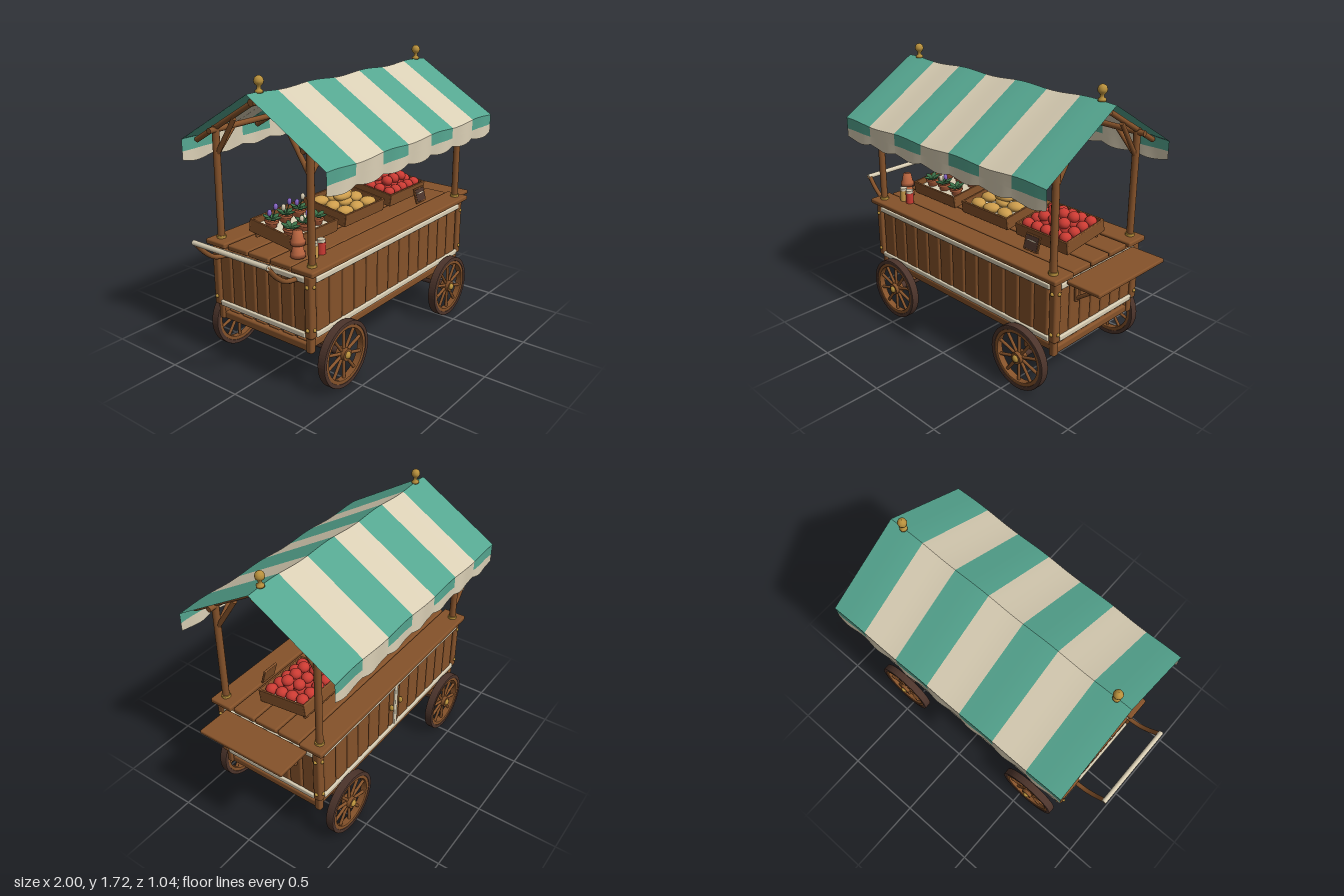
import * as THREE from 'three';
import { RoundedBoxGeometry } from 'three/addons/geometries/RoundedBoxGeometry.js';

const mat = (name, color, side = THREE.FrontSide) => Object.assign(new THREE.MeshStandardMaterial({ color, side }), { name });

export function createModel() {
  const wood = mat('wood', 0x85522a), dark = mat('darkWood', 0x4c342b);
  const green = mat('awningGreen', 0x55a690, THREE.DoubleSide), cream = mat('cream', 0xd9ceb4, THREE.DoubleSide);
  const gold = mat('brass', 0xb8903c), red = mat('red', 0xcc3b33), clay = mat('terracotta', 0xb8643f);
  const leaf = mat('leaf', 0x3c7048), purple = mat('purple', 0x8a68cc), bread = mat('bread', 0xcd9d4c);
  const root = new THREE.Group();
  root.name = 'marketCart';
  const V = (x, y, z) => new THREE.Vector3(x, y, z);

  const group = (name, parent = root) => {
    const g = new THREE.Group();
    g.name = name;
    parent.add(g);
    return g;
  };
  const add = (name, geo, m, x = 0, y = 0, z = 0, parent = root) => {
    const mesh = new THREE.Mesh(geo, m);
    mesh.name = name;
    mesh.position.set(x, y, z);
    parent.add(mesh);
    return mesh;
  };
  const box = (name, w, h, d, m, x, y, z, parent) =>
    add(name, new RoundedBoxGeometry(w, h, d, 2, Math.min(w, h, d) * 0.3), m, x, y, z, parent);
  const ball = (name, r, m, x, y, z, parent, sx = 1, sy = 1, sz = 1) => {
    const b = add(name, new THREE.SphereGeometry(r, 16, 12), m, x, y, z, parent);
    b.scale.set(sx, sy, sz);
    return b;
  };
  // Round rod between two points
  const rod = (name, a, b, r, m, parent) => {
    const c = a.clone().add(b).multiplyScalar(0.5), d = b.clone().sub(a);
    const mesh = add(name, new THREE.CylinderGeometry(r, r, d.length(), 14), m, c.x, c.y, c.z, parent);
    mesh.quaternion.setFromUnitVectors(V(0, 1, 0), d.normalize());
    return mesh;
  };
  const lathe = (pts, n = 20) => new THREE.LatheGeometry(pts.map(p => new THREE.Vector2(...p)), n);

  // Wheels
  const ring = (ro, ri, w) => {
    const s = new THREE.Shape().absarc(0, 0, ro, 0, Math.PI * 2);
    s.holes.push(new THREE.Path().absarc(0, 0, ri, 0, Math.PI * 2, true));
    const bevel = 0.005;
    return new THREE.ExtrudeGeometry(s, { depth: w - 2 * bevel, curveSegments: 32, bevelSize: bevel, bevelThickness: bevel, bevelOffset: -bevel, bevelSegments: 2 })
      .translate(0, 0, -w / 2 + bevel);
  };
  const tire = ring(0.197, 0.172, 0.05), felloe = ring(0.179, 0.152, 0.042);
  for (const x of [-0.555, 0.555]) {
    for (const s of [-1, 1]) {
      const w = group('wheel');
      w.position.set(x, 0.197, s * 0.41);
      add('tire', tire, dark, 0, 0, 0, w);
      add('rim', felloe, wood, 0, 0, 0, w);
      for (let i = 0; i < 10; i++) {
        const a = (i + 0.5) * Math.PI / 5, c = Math.cos(a), q = Math.sin(a);
        rod('spoke', V(c * 0.03, q * 0.03, 0), V(c * 0.16, q * 0.16, 0), 0.0095, wood, w);
      }
      rod('hub', V(0, 0, -0.03), V(0, 0, 0.03), 0.036, wood, w);
      ball('hubCap', 0.022, gold, 0, 0, s * 0.03, w, 1, 1, 0.7);
    }
    rod('axle', V(x, 0.2, -0.42), V(x, 0.2, 0.42), 0.023, dark);
    box('bolster', 0.07, 0.06, 0.69, wood, x, 0.245, 0);
  }

  // Underframe with slatted lower shelf
  for (const s of [-1, 1]) {
    box('sideRail', 1.5, 0.05, 0.04, wood, 0, 0.31, s * 0.325);
    box('endRail', 0.04, 0.05, 0.66, wood, s * 0.73, 0.285, 0);
  }
  for (let i = 0; i < 6; i++) box('lowerSlat', 1.46, 0.02, 0.075, wood, 0, 0.31, (i - 2.5) * 0.104);
  ball('sack', 0.1, bread, -0.27, 0.345, 0.05, root, 1, 0.32, 0.9);
  ball('sack', 0.13, cream, 0.22, 0.345, -0.04, root, 1.1, 0.28, 0.85);

  // Body: planked walls, cream trim, floor
  for (const s of [-1, 1]) {
    for (let i = 0; i < 13; i++)
      add('wallPlank', new RoundedBoxGeometry(0.109, 0.35, 0.034, 4, 0.016), wood, (i - 6) * 0.1105, 0.535, s * 0.345);
    for (let i = 0; i < 7; i++)
      add('endPlank', new RoundedBoxGeometry(0.034, 0.35, 0.092, 4, 0.016), wood, s * 0.745, 0.535, (i - 3) * 0.0925);
    for (const y of [0.372, 0.693]) {
      box('longTrim', 1.46, 0.032, 0.02, cream, 0, y, s * 0.363);
      box('endTrim', 0.02, 0.032, 0.64, cream, s * 0.767, y, 0);
    }
  }
  box('floor', 1.46, 0.02, 0.66, wood, 0, 0.375, 0);
  box('doorStrip', 0.03, 0.3, 0.02, cream, 0, 0.533, -0.363);
  for (const x of [-0.05, 0.05]) ball('doorKnob', 0.014, gold, x, 0.54, -0.37, root, 0.9, 1.6, 1);

  // Corner posts, roof posts, bolts and collars
  for (const sx of [-1, 1]) for (const sz of [-1, 1]) {
    box('cornerPost', 0.052, 0.37, 0.052, wood, sx * 0.752, 0.54, sz * 0.344);
    box('postFoot', 0.042, 0.12, 0.042, wood, sx * 0.742, 0.32, sz * 0.334);
    for (const y of [0.41, 0.66]) {
      ball('bolt', 0.011, gold, sx * 0.778, y, sz * 0.344);
      ball('bolt', 0.011, gold, sx * 0.752, y, sz * 0.37);
    }
    rod('roofPost', V(sx * 0.727, 0.74, sz * 0.337), V(sx * 0.727, 1.41, sz * 0.337), 0.021, wood);
    rod('postCollar', V(sx * 0.727, 0.758, sz * 0.337), V(sx * 0.727, 0.776, sz * 0.337), 0.027, gold);
    // Diagonal braces to the rafters and along the cart
    rod('brace', V(sx * 0.727, 1.25, sz * 0.335), V(sx * 0.727, 1.47, sz * 0.19), 0.014, wood);
    rod('brace', V(sx * 0.727, 1.25, sz * 0.335), V(sx * 0.59, 1.39, sz * 0.335), 0.014, wood);
  }

  // Countertop boards
  for (let i = 0; i < 5; i++) {
    const outer = i === 0 || i === 4;
    box('counterBoard', outer ? 1.59 : 1.56, 0.032, 0.152, wood, 0, outer ? 0.744 : 0.739, (i - 2) * 0.161);
  }
  for (const x of [-0.6, 0, 0.6]) box('counterBearer', 0.05, 0.03, 0.66, wood, x, 0.712, 0);

  // Side shelf with brackets
  box('sideShelf', 0.22, 0.024, 0.58, wood, 0.89, 0.711, 0);
  for (const z of [-0.2, 0.2]) {
    box('bracketUpright', 0.022, 0.14, 0.022, wood, 0.778, 0.63, z);
    rod('bracketArm', V(0.78, 0.58, z), V(0.95, 0.702, z), 0.011, wood);
  }

  // Push handle
  for (const z of [-0.262, 0.262]) {
    const path = new THREE.CatmullRomCurve3([V(-0.75, 0.68, z), V(-0.85, 0.7, z), V(-0.92, 0.75, z), V(-0.985, 0.825, z)]);
    add('handleArm', new THREE.TubeGeometry(path, 16, 0.014, 10), wood);
    ball('handleEnd', 0.0145, wood, -0.985, 0.825, z);
  }
  rod('handleGrip', V(-0.985, 0.825, -0.275), V(-0.985, 0.825, 0.275), 0.015, cream);

  // Roof frame
  rod('ridgeBeam', V(-0.79, 1.588, 0), V(0.79, 1.588, 0), 0.02, wood);
  for (const s of [-1, 1]) {
    rod('wallPlate', V(-0.78, 1.39, s * 0.335), V(0.78, 1.39, s * 0.335), 0.017, wood);
    for (const x of [-0.727, -0.245, 0.245, 0.727])
      rod('rafter', V(x, 1.602, 0), V(x, 1.307, s * 0.495), 0.016, wood);
  }
  const finial = lathe([[0, 0], [0.022, 0], [0.022, 0.012], [0.011, 0.02], [0.011, 0.035], [0.024, 0.048], [0.027, 0.062], [0.022, 0.078], [0.011, 0.087], [0, 0.09]]);
  for (const x of [-0.725, 0.73]) add('finial', finial, gold, x, 1.63, 0);

  // Striped awning: slope, valance and scalloped hem per stripe
  const sheet = (nu, nv, f) => {
    const g = new THREE.PlaneGeometry(1, 1, nu, nv), p = g.attributes.position;
    for (let i = 0; i < p.count; i++) p.setXYZ(i, ...f(p.getX(i) + 0.5, 0.5 - p.getY(i)));
    g.computeVertexNormals();
    return g;
  };
  const wave = x => 0.006 * Math.cos((x + 0.3) * 13.3);
  const awning = group('awning');
  const W = 1.645 / 7;
  for (const s of [-1, 1]) for (let i = 0; i < 7; i++) {
    const m = i % 2 ? cream : green, X = u => -0.82 + (i + (s > 0 ? u : 1 - u)) * W;
    const hang = (x, y) => s * (0.515 + 0.005 * Math.sin(x * 26.7) * (1.32 - y) / 0.13);
    add('roofStripe', sheet(10, 6, (u, v) => [X(u), 1.63 - 0.31 * v + wave(X(u)), s * 0.517 * v]), m, 0, 0, 0, awning);
    add('valanceStripe', sheet(10, 2, (u, v) => {
      const y = 1.32 - v * 0.065;
      return [X(u), y + wave(X(u)) * (1 - v), hang(X(u), y)];
    }), m, 0, 0, 0, awning);
    add('scallopHem', sheet(10, 2, (u, v) => {
      const y = 1.255 - v * (0.05 + 0.02 * Math.sin(Math.PI * u));
      return [X(u), y, hang(X(u), y)];
    }), cream, 0, 0, 0, awning);
  }

  // Display crates tilted towards the front
  const crate = x => {
    const g = group('crate');
    g.position.set(x, 0.79, -0.025);
    g.rotation.x = 0.13;
    box('crateBase', 0.38, 0.012, 0.32, wood, 0, 0.006, 0, g);
    for (const s of [-1, 1]) {
      box('crateLong', 0.39, 0.078, 0.014, wood, 0, 0.04, s * 0.158, g);
      box('crateEnd', 0.014, 0.078, 0.31, wood, s * 0.188, 0.04, 0, g);
    }
    box('crateLiner', 0.36, 0.012, 0.3, cream, 0, 0.034, 0, g);
    box('crateProp', 0.34, 0.035, 0.02, wood, 0, -0.018, -0.13, g);
    return g;
  };
  const flowers = crate(-0.46), loaves = crate(0), tomatoes = crate(0.46);

  // Tomatoes in two layers
  for (let r = 0; r < 4; r++) for (let c = 0; c < 5; c++)
    ball('tomato', 0.036, red, (c - 2) * 0.07, 0.07, (r - 1.5) * 0.074, tomatoes, 1, 0.9, 1);
  for (let r = 0; r < 2; r++) for (let c = 0; c < 3; c++)
    ball('tomato', 0.036, red, (c - 1) * 0.074, 0.108, (r - 0.5) * 0.085, tomatoes, 1, 0.9, 1);

  // Bread loaves
  for (let r = 0; r < 3; r++) for (let c = 0; c < 3; c++)
    ball('loaf', 0.05, bread, (c - 1) * 0.112, 0.06, (r - 1) * 0.095, loaves, 1.1, 0.6, 0.85).rotation.y = (r + c) % 2 ? 0.3 : -0.25;
  ball('loaf', 0.055, bread, 0, 0.092, -0.02, loaves, 1.3, 0.6, 0.85);

  // Potted flowers
  const pot = lathe([[0, 0], [0.028, 0], [0.036, 0.045], [0.042, 0.045], [0.042, 0.06], [0.036, 0.06], [0.034, 0.05], [0, 0.05]]);
  for (let r = 0; r < 2; r++) for (let c = 0; c < 3; c++) {
    const p = group('pottedFlower', flowers);
    p.position.set((c - 1) * 0.115, 0.025, (r - 0.5) * 0.14);
    add('pot', pot, clay, 0, 0, 0, p);
    for (let k = 0; k < 6; k++) {
      const a = k * Math.PI / 3, l = ball('leaf', 0.025, leaf, Math.cos(a) * 0.026, 0.068, Math.sin(a) * 0.026, p, 1.2, 0.3, 0.6);
      l.rotation.set(0, -a, 0.4);
    }
    if ((r + c) % 2 === 0 || r === 0) for (const k of [-1, 1]) {
      const h = 0.105 + 0.012 * k - 0.02 * r;
      rod('stem', V(0, 0.05, 0), V(k * 0.024, h, 0), 0.003, leaf, p);
      ball('bloom', 0.015, (c + k) % 3 === 0 ? cream : purple, k * 0.024, h + 0.012, 0, p, 0.9, 1.4, 0.9);
    }
  }

  // Stacked empty pots and preserve jars
  const bigPot = lathe([[0, 0.078], [0.026, 0.078], [0.036, 0.024], [0.043, 0.024], [0.043, 0], [0, 0]].reverse());
  add('emptyPot', bigPot, clay, -0.668, 0.76, 0.19);
  add('emptyPot', bigPot, clay, -0.668, 0.832, 0.19);
  [[-0.62, bread], [-0.56, red]].forEach(([x, m]) => {
    rod('jar', V(x, 0.76, 0.262), V(x, 0.828, 0.262), 0.025, m);
    rod('jarLid', V(x, 0.828, 0.262), V(x, 0.845, 0.262), 0.023, cream);
  });

  // Price board leaning on its foot
  const sign = group('priceBoard');
  sign.position.set(0.472, 0.815, 0.225);
  sign.rotation.x = -0.28;
  box('boardFrame', 0.108, 0.098, 0.014, wood, 0, 0, 0, sign);
  box('boardFace', 0.092, 0.08, 0.006, dark, 0, 0, 0.006, sign);
  box('chalkLine', 0.06, 0.006, 0.003, cream, 0, 0.012, 0.0092, sign);
  return root;
}
